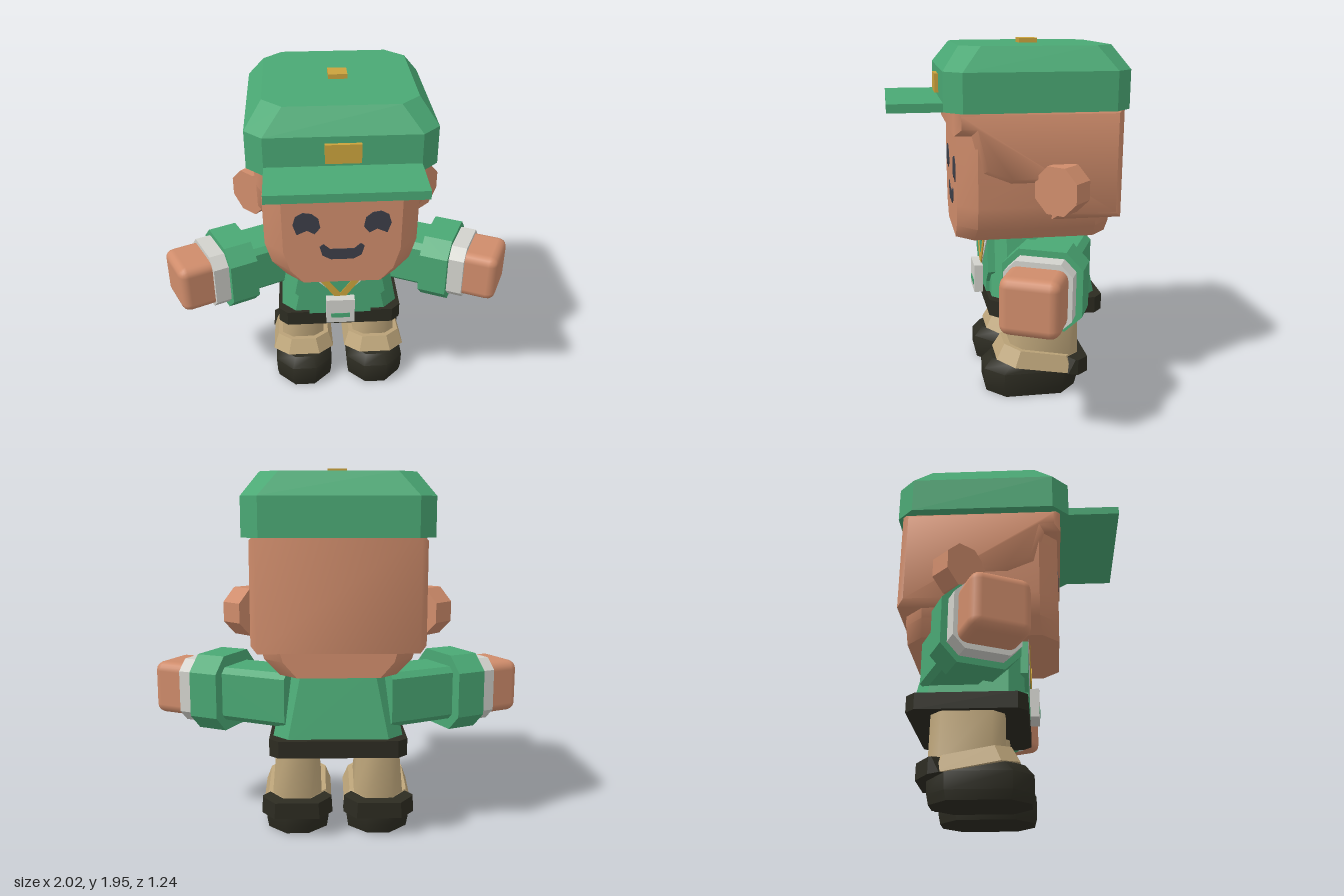
import * as THREE from 'three';
import { toCreasedNormals } from 'three/addons/utils/BufferGeometryUtils.js';
import { RoundedBoxGeometry } from 'three/addons/geometries/RoundedBoxGeometry.js';

const paint = (name, color) => {
  const m = new THREE.MeshStandardMaterial({ color });
  m.name = name;
  return m;
};

// Stack of corner-cut rectangles: [y, halfX, frontZ, backZ, cornerCut, tilt]
function loft(sections, crease = 0.3) {
  const pos = [], idx = [], n = 8, last = (sections.length - 1) * n;
  for (const [y, x, f, b, c, tilt = 0] of sections) {
    const ring = [[x, f - c], [x, b + c], [x - c, b], [c - x, b], [-x, b + c], [-x, f - c], [c - x, f], [x - c, f]];
    for (const [px, pz] of ring) pos.push(px, y + tilt * pz, pz);
  }
  for (let s = 0; s < last; s += n) {
    for (let i = 0; i < n; i++) {
      const a = s + i, b = s + (i + 1) % n;
      idx.push(a, b, b + n, a, b + n, a + n);
    }
  }
  for (let i = 1; i < n - 1; i++) idx.push(0, i + 1, i, last, last + i, last + i + 1);
  const g = new THREE.BufferGeometry();
  g.setAttribute('position', new THREE.Float32BufferAttribute(pos, 3));
  g.setIndex(idx);
  return toCreasedNormals(g, crease);
}

const shapeOf = (pts, sx = 1) => new THREE.Shape(pts.map(([x, y]) => new THREE.Vector2(x * sx, y)));
const mirrored = (half) => [...half, ...half.map(([x, y]) => [-x, y]).reverse()];
const plate = (pts, depth = 0.004, sx = 1) =>
  new THREE.ExtrudeGeometry(shapeOf(pts, sx), { depth, bevelEnabled: false });

export function createModel() {
  const green = paint('uniform green', 0x4aa874);
  const skin = paint('skin', 0xcf8c6b);
  const dark = paint('dark leather', 0x2c2b21);
  const tan = paint('tan cloth', 0xbda57a);
  const white = paint('white cloth', 0xd2d2cc);
  const gold = paint('gold', 0xcaa23c);
  const ink = paint('face ink', 0x3c3e48);

  const model = new THREE.Group();
  model.name = 'figure';
  const add = (name, geo, mat, x = 0, y = 0, z = 0, parent = model) => {
    const m = new THREE.Mesh(geo, mat);
    m.name = name;
    m.position.set(x, y, z);
    parent.add(m);
    return m;
  };
  const box = (w, h, d) => new THREE.BoxGeometry(w, h, d);

  // Head with narrowed chin
  add('head', loft([
    [0.9, 0.3, 0.27, -0.56, 0.09], [0.98, 0.38, 0.27, -0.56, 0.1],
    [1.1, 0.415, 0.27, -0.56, 0.1], [1.62, 0.42, 0.27, -0.56, 0.1],
  ], 0.7), skin);

  // Skull shell: brow, temples and nape, swept across the head
  const bevel = 0.035;
  const shell = new THREE.ExtrudeGeometry(shapeOf([
    [-0.29, 1.62], [-0.29, 1.48], [-0.2, 1.48], [-0.15, 1.28], [0, 1.22],
    [0.22, 1.22], [0.22, 1.03], [0.59, 1.03], [0.59, 1.62],
  ]), { depth: 0.88 - 2 * bevel, bevelThickness: bevel, bevelSize: bevel, bevelOffset: -bevel, bevelSegments: 1 });
  shell.translate(0, 0, -0.44 + bevel).rotateY(Math.PI / 2);
  add('skullShell', toCreasedNormals(shell, 0.85), skin);

  // Ears: thick octagons turned outward
  for (const s of [1, -1]) {
    const g = new THREE.CylinderGeometry(0.135, 0.135, 0.13, 8, 1, false, Math.PI / 8).rotateX(Math.PI / 2);
    add('ear', toCreasedNormals(g, 0.3), skin, s * 0.467, 1.205, -0.257).rotation.y = s * Math.PI / 4;
  }

  // Face
  const eye = [
    [0.26, 1.27], [0.245, 1.32], [0.205, 1.342], [0.16, 1.335], [0.125, 1.305],
    [0.115, 1.25], [0.145, 1.212], [0.185, 1.235], [0.24, 1.21],
  ];
  for (const s of [1, -1]) add('eye', plate(eye, 0.004, s), ink, 0, 0, 0.27);
  add('mouth', plate(mirrored([
    [0.06, 1.05], [0.105, 1.075], [0.12, 1.13], [0.1, 1.147], [0.065, 1.115],
  ])), ink, 0, 0, 0.27);

  // Cap
  add('capCrown', loft([
    [1.6, 0.48, 0.34, -0.62, 0.09], [1.8, 0.48, 0.34, -0.62, 0.09], [1.92, 0.39, 0.25, -0.54, 0.1],
  ]), green);
  add('capBrim', box(0.78, 0.045, 0.32), green, 0, 1.6225, 0.46);
  add('capBadge', box(0.18, 0.1, 0.03), gold, 0, 1.715, 0.345);
  add('capButton', box(0.1, 0.03, 0.1), gold, 0, 1.93, -0.15);

  // Jacket and belt
  add('jacket', loft([[0.54, 0.345, 0.08, -0.5, 0.08], [0.92, 0.27, 0.08, -0.43, 0.08]]), green);
  add('jacketFront', plate(mirrored([[0.18, 0.55], [0.18, 0.62], [0.26, 0.7], [0.22, 0.91]]), 0.04), green, 0, 0, 0.06);
  add('belt', loft([[0.47, 0.36, 0.1, -0.53, 0.05], [0.56, 0.36, 0.1, -0.53, 0.05]]), dark);

  // Shirt, tie and gold straps
  add('shirt', plate([[0, 0.66], [0.25, 0.9], [-0.25, 0.9]]), white, 0, 0, 0.1);
  add('tie', plate(mirrored([[0, 0.7], [0.065, 0.77], [0.035, 0.81], [0.065, 0.86], [0.03, 0.9]])), green, 0, 0, 0.103);
  for (const s of [1, -1]) {
    add('strap', plate([[0, 0.67], [0.035, 0.68], [0.195, 0.9], [0.15, 0.9], [0, 0.7]], 0.005, s), gold, 0, 0, 0.106);
  }
  add('buckle', box(0.165, 0.16, 0.05), white, 0, 0.6, 0.13);
  add('buckleSlot', box(0.11, 0.03, 0.006), green, 0, 0.572, 0.155);

  // Arms, built along local x and angled forward
  const armPart = (x0, x1, h, c) =>
    loft([[x0, h, h, -h, c], [x1, h, h, -h, c]]).rotateZ(-Math.PI / 2);
  for (const s of [1, -1]) {
    const arm = new THREE.Group();
    arm.name = s > 0 ? 'leftArm' : 'rightArm';
    arm.position.set(s * 0.635, 0.755, -0.14);
    arm.rotation.y = s > 0 ? -0.44 : Math.PI + 0.44;
    model.add(arm);
    add('sleeve', armPart(-0.46, 0, 0.145, 0.03), green, 0, 0, 0, arm);
    add('sleeveCuff', armPart(-0.085, 0.08, 0.205, 0.085), green, 0, 0, 0, arm);
    add('shirtCuff', armPart(0.07, 0.17, 0.172, 0.06), white, 0, 0, 0, arm);
    add('hand', new RoundedBoxGeometry(0.28, 0.29, 0.3, 2, 0.05), skin, 0.22, 0, 0, arm);
  }

  // Legs and boots
  for (const s of [1, -1]) {
    const leg = new THREE.Group();
    leg.name = s > 0 ? 'leftLeg' : 'rightLeg';
    leg.position.x = s * 0.22;
    model.add(leg);
    add('trouser', loft([[0.18, 0.135, -0.02, -0.405, 0.06], [0.48, 0.11, -0.02, -0.405, 0.06]], 0.9), tan, 0, 0, 0, leg);
    add('trouserCuff', loft([
      [0.19, 0.185, 0.06, -0.445, 0.09, 0.177], [0.282, 0.155, 0.015, -0.4, 0.08, 0.18],
    ]), tan, 0, 0, 0, leg);
    add('heelCollar', loft([
      [0.188, 0.19, -0.26, -0.455, 0.07, 0.177], [0.275, 0.185, -0.3, -0.455, 0.07, 0.177],
    ]), dark, 0, 0, 0, leg);
    add('shoe', loft([
      [0, 0.16, 0.115, -0.395, 0.1], [0.05, 0.168, 0.127, -0.405, 0.1],
      [0.14, 0.172, 0.127, -0.41, 0.1], [0.195, 0.155, 0.08, -0.39, 0.1],
    ], 0.8), dark, 0, 0, 0, leg);
  }
  return model;
}
